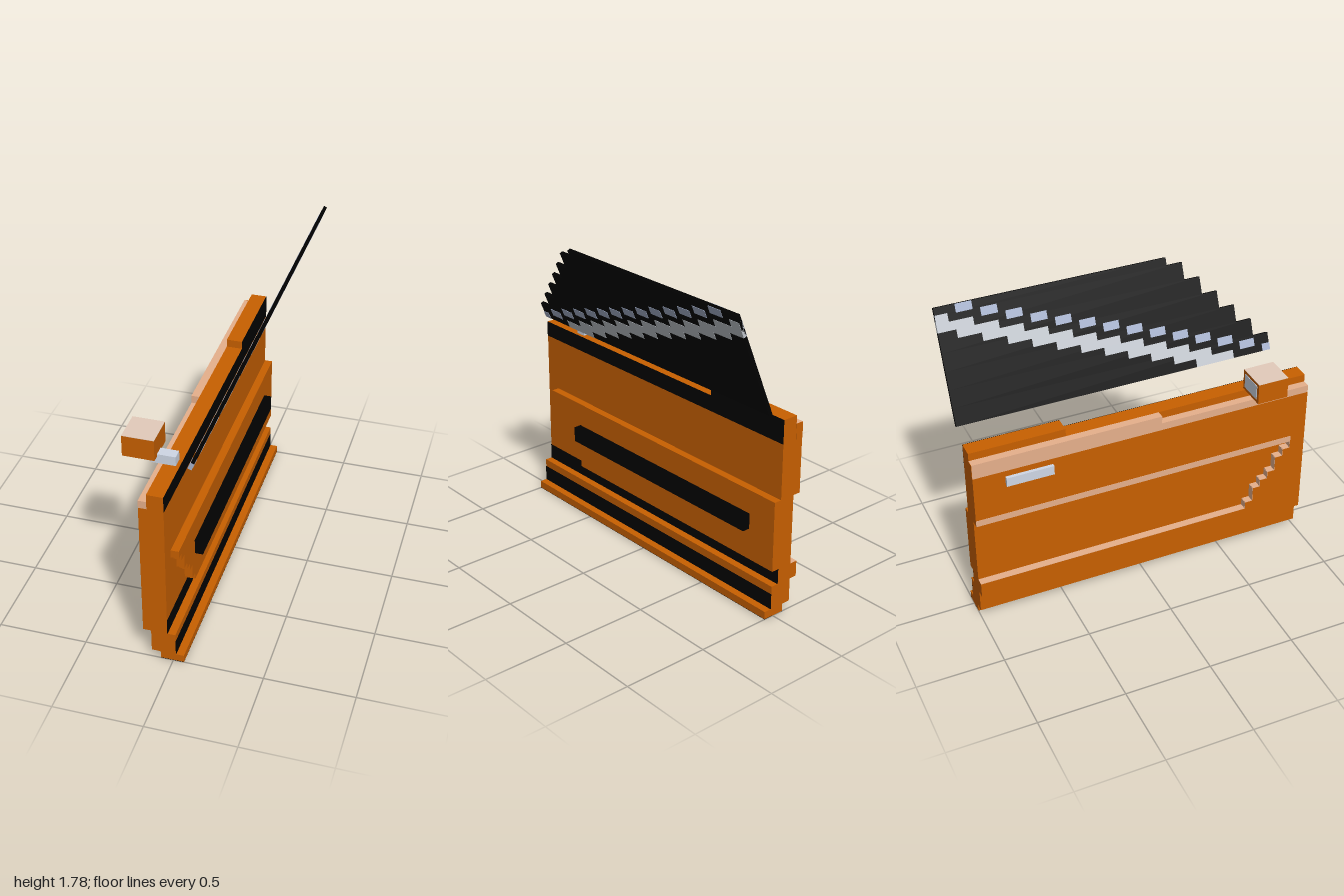
import * as THREE from 'three';

const mat = (name, color) => Object.assign(new THREE.MeshStandardMaterial({ color }), { name });

export function createModel() {
  const orange = mat('orange paint', 0xc86000);
  const black = mat('black trim', 0x010101);
  const tan = mat('warm tan', 0xecb48f);
  const paleTan = mat('pale tan', 0xe4ccbc);
  const silver = mat('silver', 0xd0d8e6);
  const grey = mat('light grey', 0xc4c9d0);
  const blueGrey = mat('blue grey', 0xa8b4cf);

  const model = new THREE.Group();
  model.name = 'vehicleDoor';

  // box from its minimum and maximum on each axis
  function box(name, material, x0, x1, y0, y1, z0, z1, parent = model) {
    const mesh = new THREE.Mesh(new THREE.BoxGeometry(x1 - x0, y1 - y0, z1 - z0), material);
    mesh.position.set((x0 + x1) / 2, (y0 + y1) / 2, (z0 + z1) / 2);
    mesh.name = name;
    parent.add(mesh);
    return mesh;
  }
  const T = 0.002; // thickness of painted plates

  // door core and stepped sill
  box('doorCore', orange, -0.12, -0.03, 0.182, 1.09, -1, 1);
  box('rearTopStep', orange, -0.12, -0.03, 1.09, 1.136, -1, -0.455);
  box('sill', orange, -0.12, 0.015, 0.045, 0.182, -1, 1);
  box('sillFoot', orange, -0.07, 0.06, 0, 0.045, -1, 1);
  box('sillUnderside', black, -0.07, 0.06, -0.001, 0.001, -1, 1);

  // black stripes on the outer face
  box('upperStripe', black, -0.03, -0.03 + T, 1.0, 1.09, -1, 1);
  box('upperStripeRear', black, -0.03, -0.03 + T, 1.09, 1.136, -1, -0.455);
  box('lowerStripe', black, -0.03, -0.03 + T, 0.182, 0.273, -1, 1);
  box('sillStripe', black, 0.015, 0.015 + T, 0.045, 0.136, -1, 1);

  // inner skin around the recess
  box('innerSkinLower', orange, -0.165, -0.12, 0.182, 0.273, -1, 1);
  box('innerSkinUpper', orange, -0.165, -0.12, 0.682, 1.0, -1, 1);
  box('recessFloor', tan, -0.165, -0.12, 0.273, 0.273 + T, -1, 0.636);
  box('recessTopBand', tan, -0.165 - T, -0.165, 0.682, 0.72, -1, 0.909);

  // raised outer panel with a stair-stepped front edge, matched by the recess inside
  const stairs = [ // bottom y, top y, front z
    [0.273, 0.318, 0.636], [0.318, 0.409, 0.682], [0.409, 0.455, 0.727], [0.455, 0.5, 0.773],
    [0.5, 0.591, 0.818], [0.591, 0.636, 0.864], [0.636, 0.682, 0.909],
  ];
  stairs.forEach(([y0, y1, z], i) => {
    box('outerPanelRow', orange, -0.03, 0.015, y0, y1, -1, z);
    box('innerSkinRow', orange, -0.165, -0.12, y0, y1, z, 1);
    box('recessRiser', tan, -0.165, -0.12, y0, y1, z - T, z);
    if (i) box('recessTread', tan, -0.165, -0.12, y0, y0 + T, stairs[i - 1][2], z);
  });
  box('outerRubStrip', black, 0.015, 0.06, 0.455, 0.545, -0.818, 0.636);

  // window ledge along the inner top edge
  box('ledgeRear', tan, -0.165, -0.12, 1.0, 1.09, -1, 0.09);
  box('ledgeFront', tan, -0.165, -0.12, 1.0, 1.045, 0.09, 1);
  box('ledgeRearEnd', orange, -0.165, -0.12, 1.0, 1.09, -1 - T, -1);
  box('innerHandle', silver, -0.185, -0.165, 0.91, 0.965, -0.82, -0.55);

  // mirror
  box('mirrorArm', silver, -0.185, -0.05, 1.09, 1.145, 0.67, 0.73);
  box('mirrorHousing', orange, -0.325, -0.15, 1.13, 1.252, 0.59, 0.77);
  box('mirrorTop', paleTan, -0.325, -0.15, 1.252, 1.254, 0.59, 0.77);
  box('mirrorGlass', silver, -0.305, -0.17, 1.15, 1.235, 0.587, 0.59);

  // leaning window, drawn upright and then tilted outward
  const glass = new THREE.Group();
  glass.name = 'window';
  glass.position.set(0.065, 1.188, 0);
  glass.rotation.z = -0.393;
  model.add(glass);
  const tilt = Math.cos(0.393);
  const pane = (name, m, half, y0, y1, z0, z1) =>
    box(name, m, -half, half, (y0 - 1.188) / tilt, (y1 - 1.188) / tilt, z0, z1, glass);
  for (let i = 0; i < 7; i++) {
    const y = 1.19 + 0.0912 * i;
    pane('windowRow', black, 0.01, y, Math.min(y + 0.0912, 1.778), -1, 0.864 - 0.091 * i);
  }

  // stepped reflection and the dashes above it, showing on both faces
  for (let i = 0; i < 13; i++) {
    const y = 1.19 + 0.0423 * i, front = 0.636 - 0.1306 * i;
    pane('reflection', grey, 0.0115, y, y + 0.044, Math.max(-1, front - 0.23), front);
    const dash = 0.773 - 0.1306 * i;
    pane('reflectionDash', blueGrey, 0.012, y + 0.037, y + 0.08, dash - 0.091, dash);
  }
  pane('frontDash', blueGrey, 0.012, 1.19, 1.228, 0.818, 0.866);

  return model;
}
